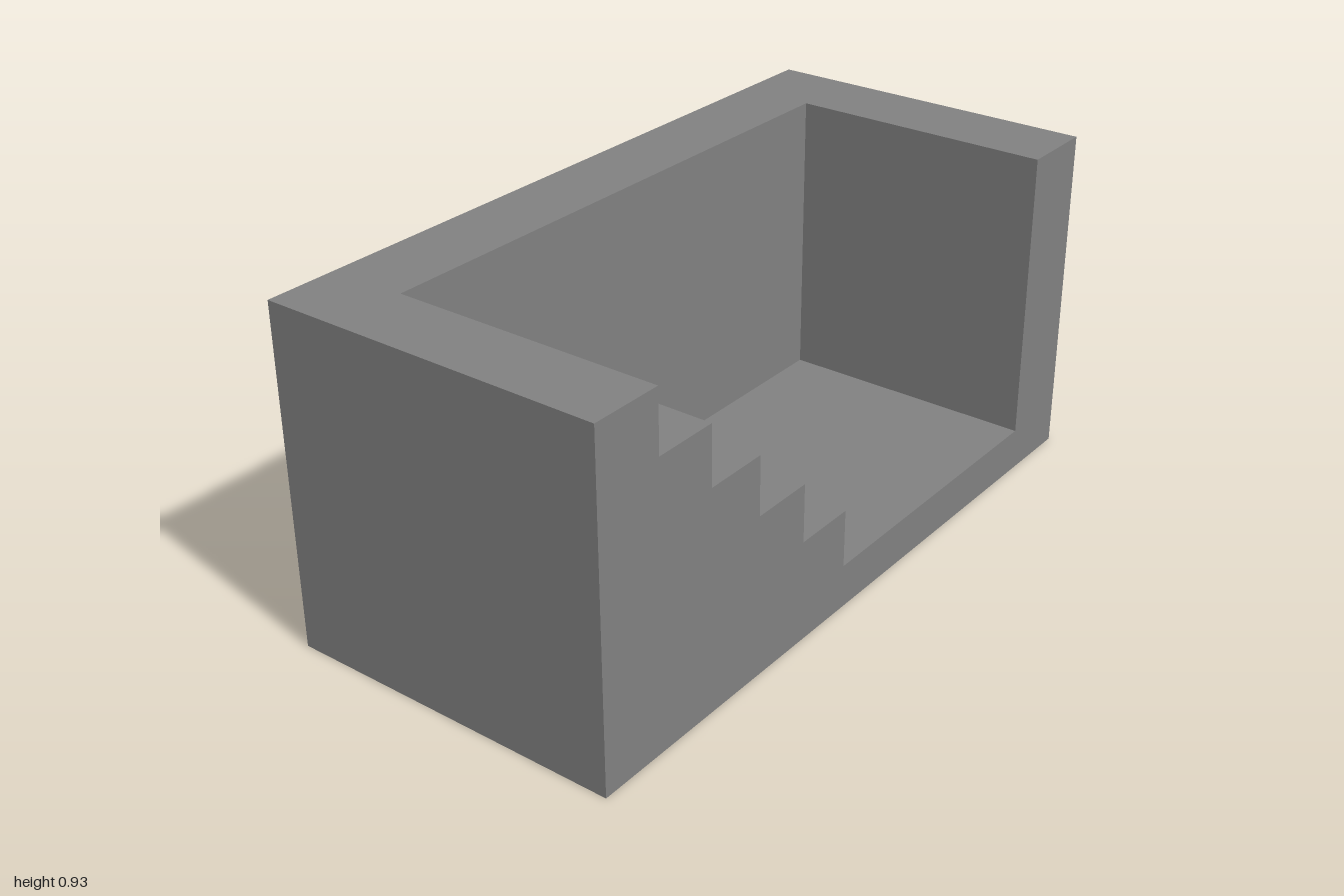
import * as THREE from 'three';

const HEIGHT = 0.925, DEPTH = 0.94, BACK = 0.21;
const STEPS = 5, RUN = 0.18, RISE = 0.16, FLOOR = 0.12;
const STAIR_X = -0.8, WALL_X = 0.785;

export function createModel() {
  const group = new THREE.Group();
  group.name = 'steppedBlock';
  const grey = new THREE.MeshStandardMaterial({ color: 0x808080 });
  grey.name = 'grey';

  // Side walls, stairs and floor share one front profile
  const profile = new THREE.Shape();
  profile.moveTo(-1, 0);
  profile.lineTo(1, 0);
  profile.lineTo(1, HEIGHT);
  profile.lineTo(WALL_X, HEIGHT);
  profile.lineTo(WALL_X, FLOOR);
  for (let i = 0; i < STEPS; i++) {
    const x = STAIR_X + (STEPS - 1 - i) * RUN;
    profile.lineTo(x, FLOOR + i * RISE);
    profile.lineTo(x, i < STEPS - 1 ? FLOOR + (i + 1) * RISE : HEIGHT);
  }
  profile.lineTo(-1, HEIGHT);
  profile.closePath();
  const stairs = new THREE.Mesh(
    new THREE.ExtrudeGeometry(profile, { depth: DEPTH - BACK, bevelEnabled: false }), grey);
  stairs.name = 'stairsAndSideWalls';
  stairs.position.z = -DEPTH / 2 + BACK;
  group.add(stairs);

  // Full-height wall behind the stairs
  const wall = new THREE.Mesh(new THREE.BoxGeometry(2, HEIGHT, BACK), grey);
  wall.name = 'backWall';
  wall.position.set(0, HEIGHT / 2, -DEPTH / 2 + BACK / 2);
  group.add(wall);

  return group;
}
